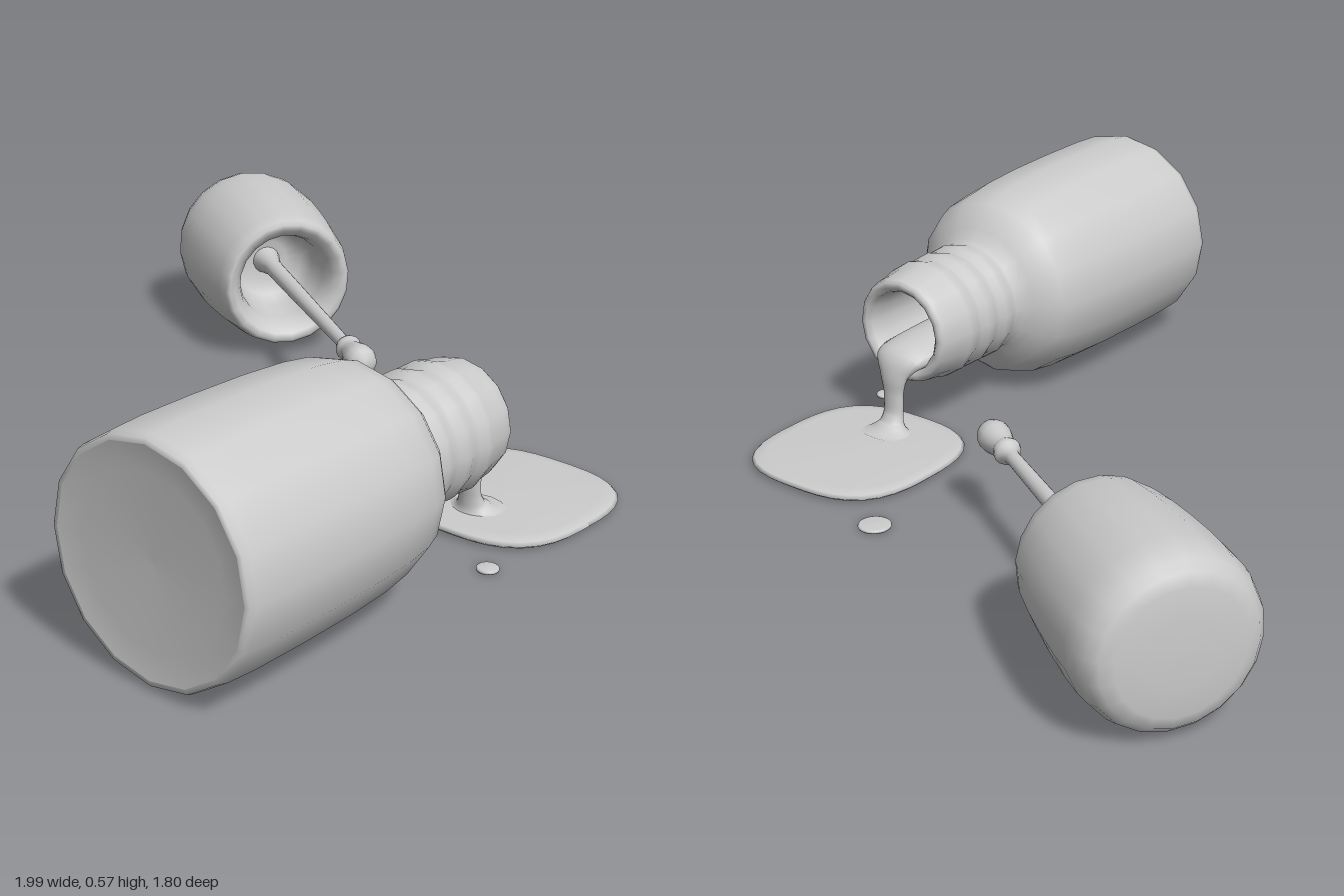
import * as THREE from 'three';

const material = new THREE.MeshStandardMaterial({ color: 0xcccccc, side: THREE.DoubleSide });

function addMesh(parent, name, geometry) {
  const mesh = new THREE.Mesh(geometry, material);
  mesh.name = name;
  parent.add(mesh);
  return mesh;
}

// Lathe from [radius, distance along axis] pairs
function lathe(profile, segments) {
  return new THREE.LatheGeometry(profile.map(([r, h]) => new THREE.Vector2(r, h)), segments);
}

// Points a group's y axis along a direction
function axisGroup(name, origin, direction) {
  const group = new THREE.Group();
  group.name = name;
  group.position.set(...origin);
  group.quaternion.setFromUnitVectors(new THREE.Vector3(0, 1, 0), new THREE.Vector3(...direction).normalize());
  return group;
}

// Rounded-square pool with a low domed edge
function poolGeometry(rx, rz, height, exponent) {
  const shapeRings = [[0, 0], [0.96, 0], [1, 0.35], [0.97, 0.7], [0.85, 0.9], [0, 1]];
  const geometry = lathe(shapeRings, 40);
  const p = geometry.attributes.position;
  for (let i = 0; i < p.count; i++) {
    const x = p.getX(i), z = p.getZ(i), r = Math.hypot(x, z);
    const k = r > 1e-6
      ? 1 / Math.pow(Math.pow(Math.abs(x / r), exponent) + Math.pow(Math.abs(z / r), exponent), 1 / exponent)
      : 1;
    p.setXYZ(i, x * k * rx, p.getY(i) * height, z * k * rz);
  }
  geometry.computeVertexNormals();
  return geometry;
}

// Elliptical sections swept along a path in the xy plane: [x, y, halfWidth, halfThickness]
function pourGeometry(sections, steps = 36, sides = 16) {
  const path = new THREE.CatmullRomCurve3(sections.map(s => new THREE.Vector3(s[0], s[1], 0)));
  const size = new THREE.CatmullRomCurve3(sections.map(s => new THREE.Vector3(s[2], s[3], 0)));
  const positions = [], indices = [];
  for (let i = 0; i <= steps; i++) {
    const c = path.getPoint(i / steps), t = path.getTangent(i / steps), s = size.getPoint(i / steps);
    for (let j = 0; j < sides; j++) {
      const a = (j / sides) * Math.PI * 2;
      const n = s.y * Math.cos(a);
      positions.push(c.x - t.y * n, c.y + t.x * n, s.x * Math.sin(a));
      if (i === steps) continue;
      const p = i * sides + j, q = i * sides + (j + 1) % sides;
      indices.push(p, q, p + sides, q, q + sides, p + sides);
    }
  }
  const geometry = new THREE.BufferGeometry();
  geometry.setAttribute('position', new THREE.Float32BufferAttribute(positions, 3));
  geometry.setIndex(indices);
  geometry.computeVertexNormals();
  return geometry;
}

export function createModel() {
  const model = new THREE.Group();
  model.name = 'spilledPolishBottle';

  // Bottle lying on its side, mouth towards +x
  const bottle = axisGroup('bottle', [0, 0.292, 0.622], [1, 0, 0]);
  addMesh(bottle, 'bottleBase', lathe([[0, -0.985], [0.2, -0.99], [0.262, -1]], 16));
  addMesh(bottle, 'bottleBody', lathe([
    [0.262, -1], [0.274, -0.998], [0.279, -0.98], [0.283, -0.9], [0.283, -0.75], [0.28, -0.6],
    [0.273, -0.48], [0.262, -0.4], [0.247, -0.355], [0.22, -0.322], [0.19, -0.3], [0.166, -0.28],
    [0.157, -0.265], [0.157, -0.25], [0.163, -0.23], [0.161, -0.215], [0.154, -0.195], [0.155, -0.18],
    [0.162, -0.16], [0.161, -0.14], [0.154, -0.12], [0.155, -0.105], [0.162, -0.08], [0.16, -0.065],
    [0.153, -0.04], [0.148, 0], [0.142, 0.025], [0.135, 0.034], [0.122, 0.034], [0.11, 0.022],
    [0.104, -0.02], [0.102, -0.12], [0.1, -0.25], [0.07, -0.3], [0, -0.31],
  ], 16));
  model.add(bottle);

  // Cap with attached brush; brush tip sits at the group's origin
  const cap = axisGroup('capAndBrush', [0.251, 0.222, 0.151], [0.517, 0, -0.856]);
  addMesh(cap, 'cap', lathe([
    [0, 0.87], [0.06, 0.868], [0.1, 0.85], [0.118, 0.8], [0.124, 0.72], [0.135, 0.68], [0.155, 0.658],
    [0.172, 0.655], [0.183, 0.665], [0.192, 0.7], [0.203, 0.78], [0.21, 0.86], [0.215, 0.95],
    [0.215, 1.02], [0.211, 1.06], [0.2, 1.095], [0.18, 1.117], [0.15, 1.127], [0.08, 1.132], [0, 1.133],
  ], 20));
  addMesh(cap, 'brush', lathe([
    [0, 0], [0.02, 0.003], [0.036, 0.015], [0.042, 0.035], [0.041, 0.055], [0.034, 0.085], [0.028, 0.108],
    [0.032, 0.118], [0.035, 0.13], [0.031, 0.142], [0.021, 0.152], [0.018, 0.17], [0.02, 0.35],
    [0.023, 0.6], [0.025, 0.8], [0.035, 0.85], [0.04, 0.87],
  ], 16));
  model.add(cap);

  // Liquid running out of the mouth
  const pour = addMesh(model, 'pour', pourGeometry([
    [-0.28, 0.23, 0.075, 0.045], [-0.12, 0.225, 0.085, 0.042], [0, 0.222, 0.085, 0.038],
    [0.045, 0.215, 0.075, 0.033], [0.068, 0.18, 0.045, 0.022], [0.073, 0.13, 0.031, 0.018],
    [0.076, 0.08, 0.03, 0.019], [0.083, 0.05, 0.036, 0.027], [0.088, 0.034, 0.055, 0.042],
    [0.09, 0.022, 0.09, 0.075],
  ]));
  pour.position.z = 0.62;

  // Puddle and stray drops
  const pools = [
    ['puddle', 0.22, 0.618, 0.252, 0.248, 0.024, 2.9, 0.008],
    ['largeDrop', 0.494, 0.32, 0.042, 0.042, 0.01, 2, 0.006],
    ['smallDrop', -0.106, 0.81, 0.027, 0.027, 0.01, 2, 0.006],
  ];
  for (const [name, x, z, rx, rz, height, exponent, y] of pools) {
    addMesh(model, name, poolGeometry(rx, rz, height, exponent)).position.set(x, y, z);
  }

  return model;
}
